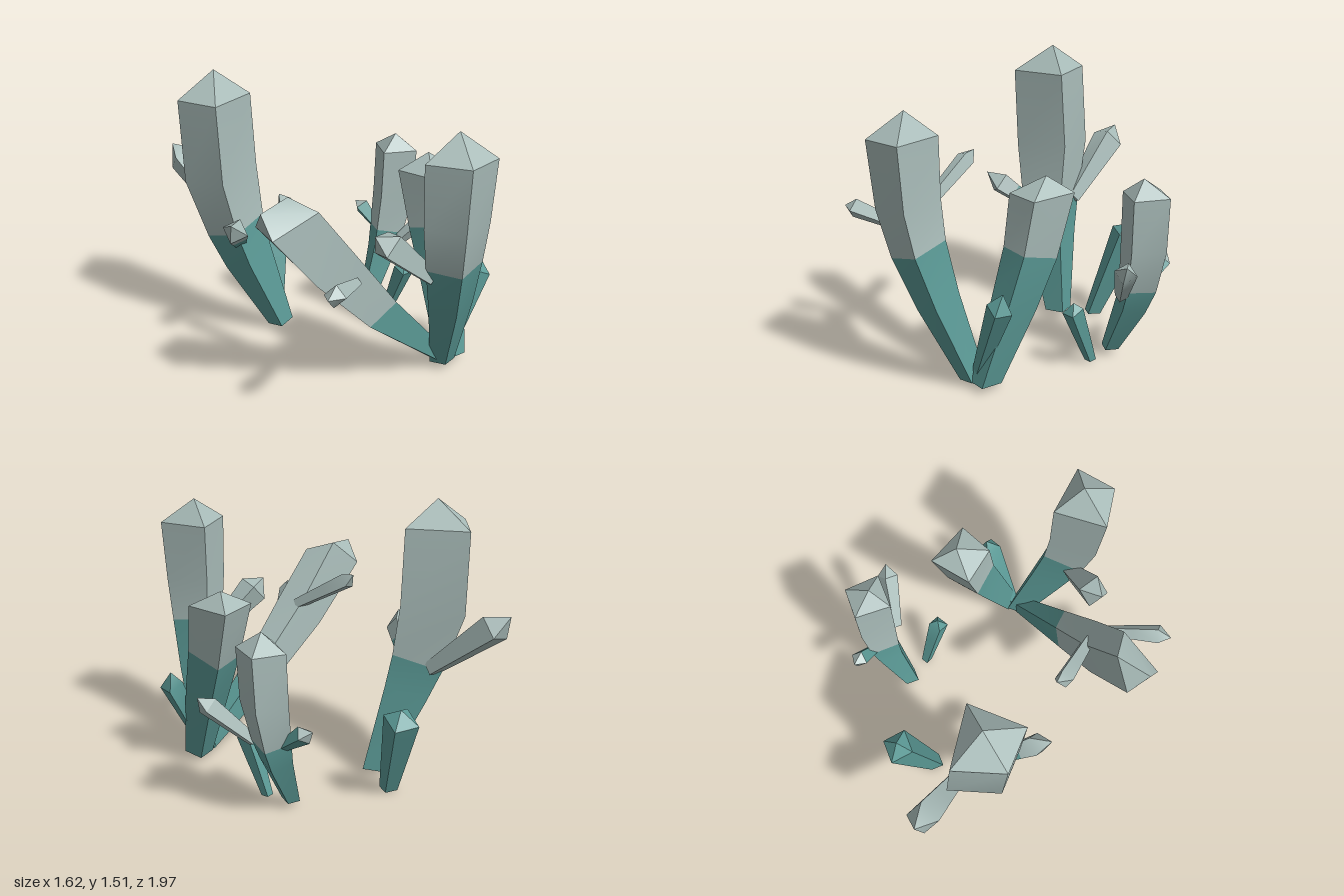
import * as THREE from 'three';
import { toCreasedNormals } from 'three/addons/utils/BufferGeometryUtils.js';

const V = (p) => new THREE.Vector3(...p);

// Four-sided crystal: stations are [x, y, z, scale] from foot to shoulder, the
// shoulder ring is carried down along them; faces below station 'split' are teal.
function crystalGeometry(ring, tip, stations, split) {
  const top = ring.map(V);
  const centre = top.reduce((s, p) => s.add(p), new THREE.Vector3()).divideScalar(4);
  const axis = top[2].clone().sub(top[0]).cross(top[3].clone().sub(top[1])).normalize();
  const offsets = top.map((p) => p.clone().sub(centre));
  const centres = [...stations.map(([x, y, z]) => V([x, y, z])), centre];
  const up = new THREE.Vector3(0, 1, 0);

  const rings = stations.map(([, , , scale], i) => {
    const dir = centres[i + 1].clone().sub(centres[Math.max(i - 1, 0)]).normalize();
    if (i === 0 && centres[0].y < 0.1) dir.lerp(up, 0.8).normalize();
    const q = new THREE.Quaternion().setFromUnitVectors(axis, dir);
    return offsets.map((o) => o.clone().applyQuaternion(q).multiplyScalar(scale).add(centres[i]));
  });
  rings.push(top);

  const pos = rings.flat().flatMap((p) => p.toArray());
  pos.push(...tip);
  const index = [0, 2, 1, 0, 3, 2];
  let tealCount = split > 0 ? 6 : 0;
  for (let i = 0; i < rings.length - 1; i++) {
    for (let k = 0; k < 4; k++) {
      const a = i * 4 + k, b = i * 4 + (k + 1) % 4;
      index.push(a, b, b + 4, a, b + 4, a + 4);
    }
    if (i < split) tealCount = index.length;
  }
  const last = (rings.length - 1) * 4;
  for (let k = 0; k < 4; k++) index.push(last + k, last + (k + 1) % 4, last + 4);
  if (split >= rings.length) tealCount = index.length;

  const geo = new THREE.BufferGeometry();
  geo.setAttribute('position', new THREE.Float32BufferAttribute(pos, 3));
  geo.setIndex(index);
  if (tealCount) geo.addGroup(0, tealCount, 0);
  if (tealCount < index.length) geo.addGroup(tealCount, index.length - tealCount, 1);
  return toCreasedNormals(geo, 0.6);
}

// Straight small crystal with a square section
function shardGeometry(foot, footR, shoulder, r, tip, spin, split) {
  const a = V(foot), b = V(shoulder);
  const dir = b.clone().sub(a).normalize();
  const q = new THREE.Quaternion().setFromUnitVectors(new THREE.Vector3(0, 1, 0), dir);
  const ring = [0, 1, 2, 3].map((k) => {
    const t = spin + k * Math.PI / 2;
    return new THREE.Vector3(Math.cos(t), 0, -Math.sin(t)).multiplyScalar(r * 1.2)
      .applyQuaternion(q).add(b).toArray();
  });
  const mid = a.clone().lerp(b, 0.6);
  const midScale = 0.4 * footR / r + 0.6;
  return crystalGeometry(ring, tip, [[...foot, footR / r], [...mid.toArray(), midScale]], split);
}

export function createModel() {
  const group = new THREE.Group();
  const teal = new THREE.MeshStandardMaterial({ color: 0x5b9a96 });
  teal.name = 'teal';
  const grey = new THREE.MeshStandardMaterial({ color: 0xa9bcb9 });
  grey.name = 'pale grey';
  const add = (name, geo) => {
    const mesh = new THREE.Mesh(geo, [teal, grey]);
    mesh.name = name;
    group.add(mesh);
  };
  // Level shoulder ring from x, z pairs
  const level = (y, pts) => pts.map(([x, z]) => [x, y, z]);

  // Large bent crystals
  add('tallBackCrystal', crystalGeometry(
    level(1.38, [[-0.53, -0.58], [-0.48, -0.345], [-0.18, -0.41], [-0.30, -0.72]]),
    [-0.34, 1.52, -0.51],
    [[-0.10, 0.04, -0.31, 0.37], [-0.25, 0.46, -0.41, 0.7], [-0.30, 0.65, -0.455, 0.83],
      [-0.345, 0.95, -0.515, 1.02]], 2));
  add('frontCrystal', crystalGeometry(
    level(1.28, [[-0.215, 0.78], [-0.13, 0.99], [0.09, 0.98], [0.055, 0.70]]),
    [-0.03, 1.41, 0.837],
    [[0.18, 0.04, 0.635, 0.38], [0.065, 0.45, 0.755, 0.64], [-0.005, 0.72, 0.815, 0.8],
      [-0.04, 0.95, 0.845, 0.92]], 2));
  add('rightFrontCrystal', crystalGeometry(
    level(0.99, [[0.265, 0.24], [0.28, 0.455], [0.475, 0.485], [0.50, 0.23]]),
    [0.405, 1.077, 0.33],
    [[0.27, 0.04, 0.625, 0.48], [0.335, 0.45, 0.495, 0.73], [0.365, 0.70, 0.415, 0.85]], 2));
  add('rightCrystal', crystalGeometry(
    level(0.935, [[0.54, -0.087], [0.70, 0.02], [0.795, -0.146], [0.655, -0.245]]),
    [0.66, 1.022, -0.104],
    [[0.45, 0.04, -0.125, 0.38], [0.58, 0.32, -0.13, 0.68], [0.62, 0.44, -0.13, 0.82],
      [0.66, 0.66, -0.12, 0.98]], 2));
  add('leaningCrystal', crystalGeometry(
    [[-0.81, 0.97, 0.385], [-0.56, 1.055, 0.44], [-0.61, 1.105, 0.286], [-0.74, 0.97, 0.20]],
    [-0.80, 1.08, 0.30],
    [[0.20, 0.04, 0.635, 0.35], [-0.21, 0.43, 0.505, 0.68], [-0.46, 0.73, 0.405, 0.9]], 1));

  // Teal shards standing on the ground
  add('smallRightShard', shardGeometry([0.445, 0.018, 0.03], 0.025,
    [0.435, 0.33, 0.16], 0.046, [0.44, 0.375, 0.16], 0.7, 3));
  add('frontFootShard', shardGeometry([0.21, 0.035, 0.63], 0.025,
    [0.425, 0.49, 0.67], 0.055, [0.44, 0.57, 0.66], 0.5, 3));
  add('backShard', shardGeometry([0.03, 0.012, -0.465], 0.042,
    [0.16, 0.49, -0.60], 0.08, [0.165, 0.55, -0.60], 0.2, 3));

  // Shards branching from the large crystals
  add('rightFrontBranch', shardGeometry([0.61, 0.41, -0.01], 0.028,
    [0.765, 0.62, 0.15], 0.048, [0.80, 0.665, 0.185], 0.5, 0));
  add('rightBackBranch', shardGeometry([0.62, 0.42, -0.18], 0.022,
    [0.625, 0.525, -0.32], 0.042, [0.62, 0.55, -0.37], 0.1, 2));
  add('tallBackBranch', shardGeometry([-0.23, 0.63, -0.56], 0.04,
    [-0.25, 0.92, -0.90], 0.075, [-0.26, 0.99, -0.98], 0.5, 0));
  add('tallLeftBranch', shardGeometry([-0.34, 0.60, -0.36], 0.035,
    [-0.485, 0.74, -0.225], 0.058, [-0.55, 0.80, -0.185], 0.4, 1));
  add('leaningBackBranch', shardGeometry([-0.40, 0.77, 0.40], 0.03,
    [-0.435, 0.955, 0.085], 0.043, [-0.42, 1.0, 0.035], 0.6, 0));
  add('leaningFrontBranch', shardGeometry([-0.38, 0.655, 0.52], 0.022,
    [-0.69, 0.745, 0.66], 0.045, [-0.755, 0.75, 0.675], 0.4, 0));
  add('frontLeftBranch', shardGeometry([-0.08, 0.65, 0.74], 0.04,
    [-0.28, 0.855, 0.625], 0.072, [-0.345, 0.91, 0.60], 0.5, 0));
  return group;
}
